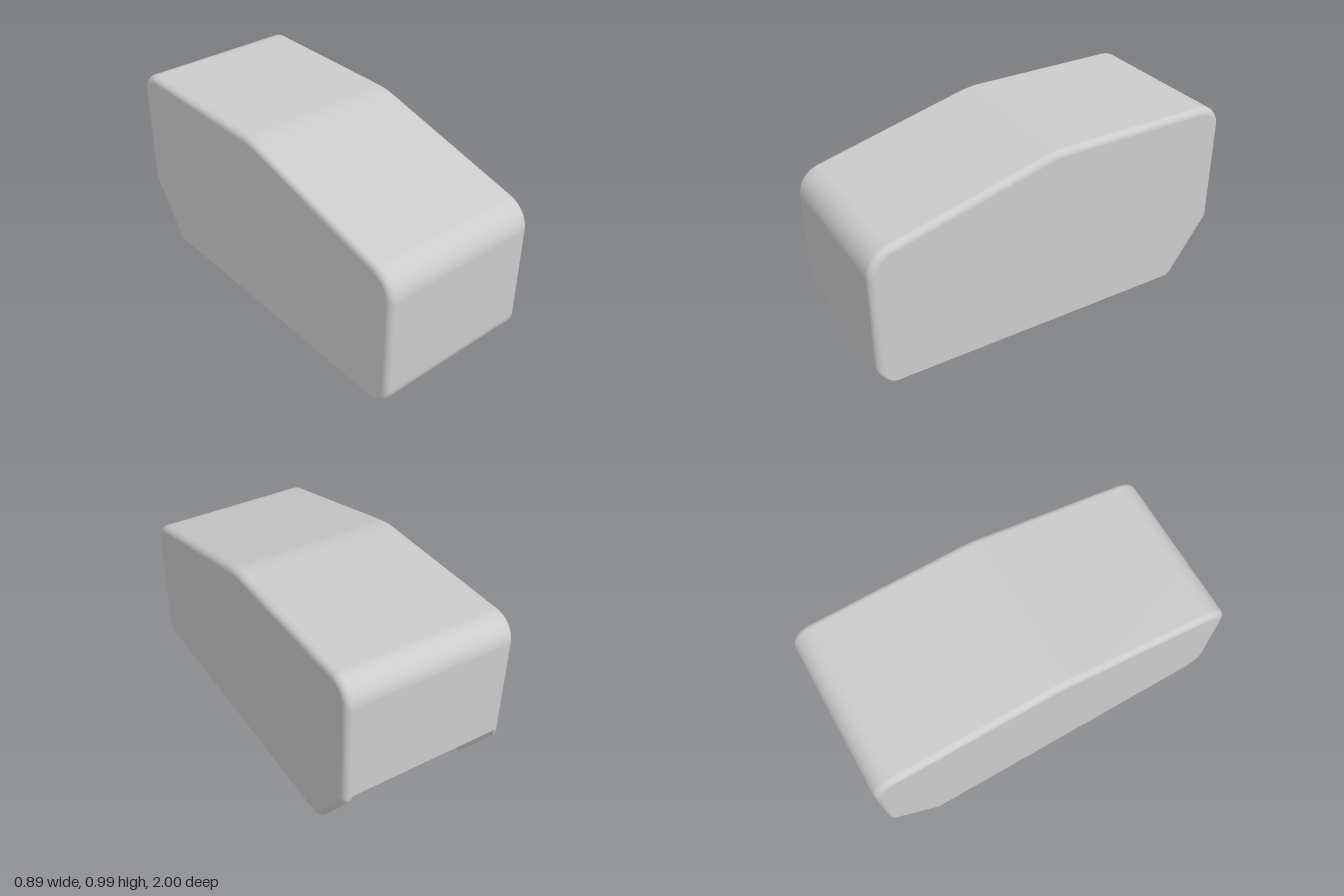
import * as THREE from 'three';
import { toCreasedNormals } from 'three/addons/utils/BufferGeometryUtils.js';

const W = 0.447;  // half width
const T = 0.035;  // wall thickness and edge rounding
const STEPS = 6;  // segments of the edge rounding

const material = new THREE.MeshStandardMaterial({ color: 0xcccccc, side: THREE.DoubleSide });
const v2 = (z, y) => new THREE.Vector2(z, y);

// Points of an arc of radius r that rounds corner b between a and c
function roundCorner(a, b, c, r, n) {
  const u = a.clone().sub(b).normalize();
  const v = c.clone().sub(b).normalize();
  const half = Math.acos(u.dot(v)) / 2;
  const bis = u.clone().add(v).normalize();
  const centre = b.clone().addScaledVector(bis, r / Math.sin(half));
  const start = b.clone().addScaledVector(u, r / Math.tan(half)).sub(centre);
  const end = b.clone().addScaledVector(v, r / Math.tan(half)).sub(centre);
  const sweep = Math.PI - 2 * half;
  const sign = Math.sign(start.cross(end));
  return Array.from({ length: n + 1 }, (_, i) =>
    start.clone().rotateAround(v2(0, 0), sign * sweep * i / n).add(centre));
}

// Side profile (z, y) inset by d: cover runs front bottom, top, back; edge is the open underside
function profile(d, lipRadius = 0.1) {
  const low = v2(1 - d, 0.1);
  const nose = v2(1 - d, 0.735 - 1.032 * d + 0.255 * d);
  const bend = v2(-0.125 * d, 0.99 - d);
  const rear = v2(-1 + d, 0.99 - d);
  const rearEnd = v2(-1 + d, 0.335);
  const cutTop = v2(-1 + d, 0.305 + 0.317 * d);
  const cutLow = v2(-1 + (0.305 + 1.736 * d) / 1.419, 0);
  const cover = [];
  for (let i = 0; i <= 10; i++) {
    const a = i / 10 * Math.PI / 2;
    cover.push(v2(0.9 + (0.1 - d) * Math.sin(a), 0.1 - lipRadius * Math.cos(a)));
  }
  cover.push(
    ...roundCorner(low, nose, bend, 0.155 - d, 12),
    ...roundCorner(nose, bend, rear, 0.47 - d, 6),
    ...roundCorner(bend, rear, rearEnd, 0.125 - d, 12),
    rearEnd);
  const edge = [
    ...roundCorner(rearEnd, cutTop, cutLow, 0.06 - d, 4),
    ...roundCorner(cutTop, cutLow, v2(0.9, 0), 0.03, 4)];
  return { cover, edge };
}

const row = (pts, x) => pts.map(p => new THREE.Vector3(x, p.y, p.x));

// Surface through rows of equal length
function loft(rows) {
  const n = rows[0].length, index = [];
  for (let i = 0; i < rows.length - 1; i++) {
    for (let j = 0; j < n - 1; j++) {
      const a = i * n + j, b = a + n;
      index.push(a, a + 1, b + 1, a, b + 1, b);
    }
  }
  const g = new THREE.BufferGeometry().setFromPoints(rows.flat());
  g.setIndex(index);
  g.computeVertexNormals();
  return g;
}

// Flat panel at x facing +x or -x
function panel(pts, x, facing) {
  const shape = new THREE.Shape(pts.map(p => v2(-facing * p.x, p.y)));
  return new THREE.ShapeGeometry(shape).rotateY(facing * Math.PI / 2).translate(x, 0, 0);
}

export function createModel() {
  const group = new THREE.Group();
  const add = (name, geometry) => {
    const mesh = new THREE.Mesh(geometry, material);
    mesh.name = name;
    group.add(mesh);
  };

  // Rounded rings from the side face to the full outline
  const rings = [];
  for (let i = 0; i <= STEPS; i++) {
    const a = i / STEPS * Math.PI / 2;
    rings.push({ x: W - T + T * Math.cos(a), ...profile(T - T * Math.sin(a)) });
  }
  const mirrored = rings.map(r => ({ ...r, x: -r.x })).reverse();
  const outer = rings[STEPS];
  const inner = profile(T, 0.1 - T).cover;
  const first = outer.cover[0], last = outer.cover.at(-1);
  const w = W - T;

  // Front, sloping top and back in one skin
  add('outerCover', loft([...rings, ...mirrored].map(r => row(r.cover, r.x))));
  add('innerCover', loft([row(inner, -w), row(inner, w)]));

  // Rims closing the front lip and the lower end of the back wall
  const rim = (a, b) => loft([row([a, b], w), row([a, b], -w)]);
  add('frontLip', rim(inner[0], first));
  add('frontLipUnderside', rim(first, first.clone().add(v2(0.0001, 0))));
  add('backRim', rim(last, inner.at(-1)));

  // Side walls with their exposed lower edges
  const closed = r => [r.cover.at(-1), ...r.edge, r.cover[0]];
  for (const [side, set, s] of [['left', rings, 1], ['right', mirrored, -1]]) {
    add(side + 'LowerEdge', toCreasedNormals(loft(set.map(r => row(closed(r), r.x))), 0.6));
    add(side + 'OuterPanel', panel([...rings[0].cover, ...rings[0].edge], s * W, s));
    add(side + 'InnerPanel', panel([...inner, last, ...outer.edge, first], s * w, -s));
  }
  return group;
}
